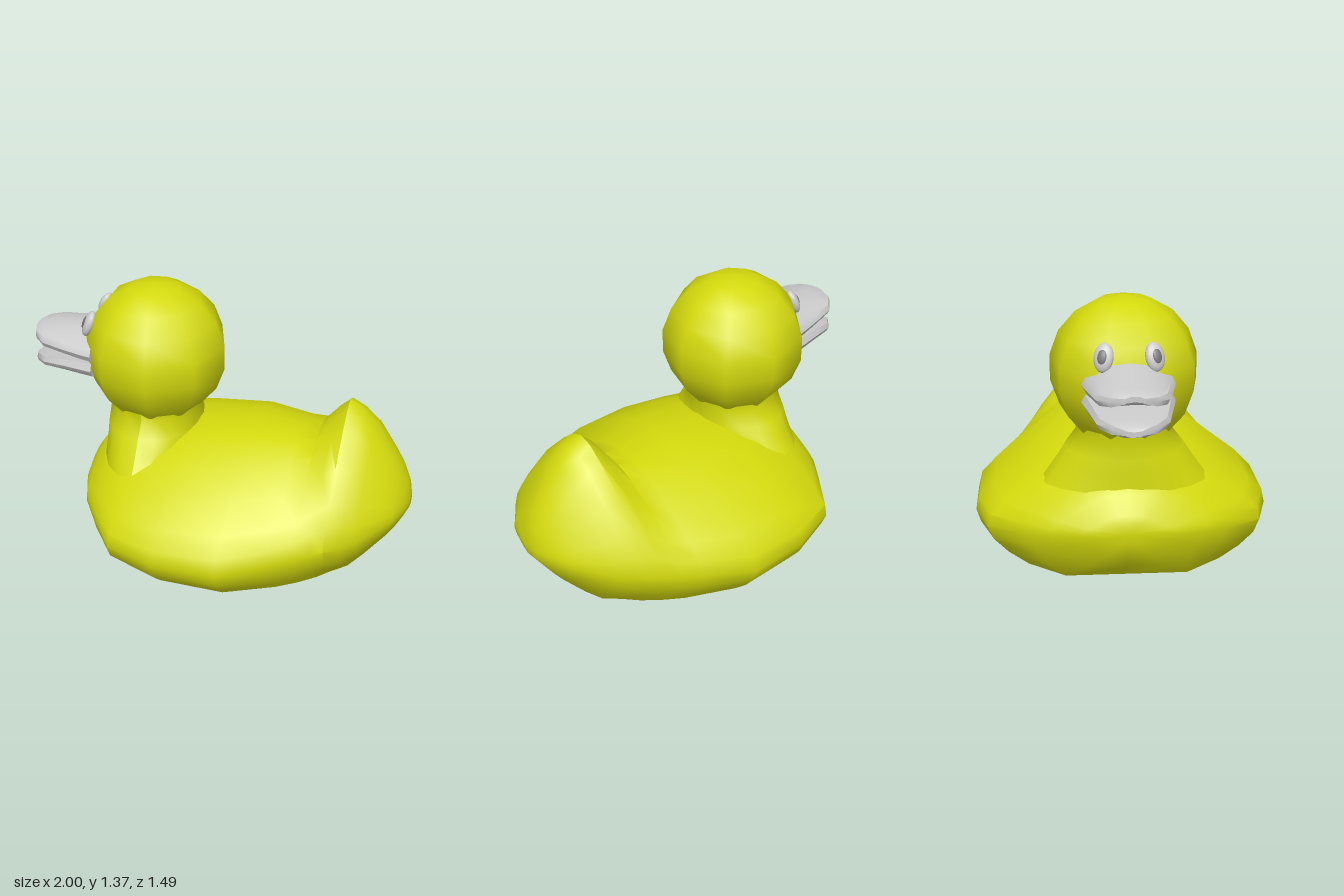
import * as THREE from 'three';
import { toCreasedNormals } from 'three/addons/utils/BufferGeometryUtils.js';

const yellow = new THREE.MeshStandardMaterial({ color: 0xd4da0c });
const grey = new THREE.MeshStandardMaterial({ color: 0xcccccc });
const dark = new THREE.MeshStandardMaterial({ color: 0x777777 });

// Skin closed cross-sections laid out along +x. Each section is
// { x, half: [[z, y], ...] } from bottom centre to top centre, mirrored in z.
// mirrorY reflects the finished solid about that height.
function loft(sections, mirrorY = null) {
  const pos = [], idx = [];
  const flip = mirrorY !== null;
  const tri = (a, b, c) => (flip ? idx.push(a, c, b) : idx.push(a, b, c));
  const put = (x, y, z) => pos.push(x, flip ? 2 * mirrorY - y : y, z);
  const n = (sections[0].half.length - 1) * 2;
  for (const { x, half } of sections) {
    const other = half.slice(1, -1).reverse().map(([z, y]) => [-z, y]);
    for (const [z, y] of [...half, ...other]) put(x, y, z);
  }
  const last = sections.length - 1;
  for (let i = 0; i < last; i++) {
    for (let j = 0; j < n; j++) {
      const k = (j + 1) % n, a = i * n, b = a + n;
      tri(a + j, b + j, a + k);
      tri(b + j, b + k, a + k);
    }
  }
  // end caps
  for (const s of [0, last]) {
    const { x, half } = sections[s];
    const c = pos.length / 3;
    put(x, (half[0][1] + half[half.length - 1][1]) / 2, 0);
    for (let j = 0; j < n; j++) {
      const p = s * n + j, q = s * n + ((j + 1) % n);
      if (s === 0) tri(c, p, q);
      else tri(c, q, p);
    }
  }
  const geo = new THREE.BufferGeometry();
  geo.setAttribute('position', new THREE.Float32BufferAttribute(pos, 3));
  geo.setIndex(idx);
  return toCreasedNormals(geo, 0.7);
}

function add(parent, name, geo, mat) {
  const mesh = new THREE.Mesh(geo, mat);
  mesh.name = name;
  parent.add(mesh);
  return mesh;
}

// Upper flank of the body: height fraction, rounded width, pointed (tail) width
const flank = [
  [0, 1, 1], [0.17, 0.98, 0.91], [0.35, 0.87, 0.78], [0.6, 0.66, 0.56],
  [0.85, 0.42, 0.27], [0.96, 0.22, 0.12], [1, 0, 0],
];

function bodySection([x, b, bw, w, yw, t, k]) {
  const half = [
    [0, b], [bw, b],
    [bw + (w - bw) * 0.5, b + (yw - b) * 0.33],
    [bw + (w - bw) * 0.85, b + (yw - b) * 0.66],
  ];
  for (const [u, round, point] of flank) {
    half.push([w * (round + (point - round) * k), yw + (t - yw) * u]);
  }
  return { x, half };
}

// x, bottom, bottom half-width, half-width, height of widest line, top, pointedness
const bodyStations = [
  [-0.71, 0.23, 0.04, 0.12, 0.28, 0.33, 0],
  [-0.69, 0.17, 0.09, 0.22, 0.27, 0.37, 0],
  [-0.63, 0.08, 0.2, 0.38, 0.25, 0.46, 0],
  [-0.55, 0, 0.3, 0.49, 0.23, 0.52, 0],
  [-0.4, 0, 0.48, 0.68, 0.21, 0.58, 0],
  [-0.15, 0, 0.6, 0.745, 0.2, 0.63, 0],
  [0.18, 0, 0.6, 0.74, 0.2, 0.68, 0.1],
  [0.42, 0, 0.48, 0.62, 0.23, 0.675, 0.2],
  [0.52, 0, 0.41, 0.57, 0.25, 0.7, 0.4],
  [0.6, 0, 0.34, 0.53, 0.27, 0.81, 0.8],
  [0.66, 0, 0.27, 0.5, 0.28, 0.87, 0.9],
  [0.73, 0, 0.2, 0.45, 0.29, 0.83, 0.7],
  [0.8, 0.06, 0.16, 0.4, 0.3, 0.76, 0.5],
  [0.9, 0.17, 0.12, 0.27, 0.32, 0.61, 0.3],
  [0.94, 0.22, 0.1, 0.22, 0.33, 0.54, 0.2],
  [0.98, 0.28, 0.06, 0.12, 0.34, 0.46, 0],
  [1, 0.31, 0.02, 0.04, 0.345, 0.38, 0],
];

// Beak half: x, half-width, lip bottom, lip top, ridge height
const beakStations = [
  [-1, 0.05, 1.03, 1.055, 1.065],
  [-0.98, 0.11, 1.012, 1.055, 1.073],
  [-0.92, 0.165, 1.0, 1.05, 1.08],
  [-0.8, 0.19, 0.988, 1.045, 1.1],
  [-0.7, 0.21, 0.98, 1.045, 1.12],
  [-0.64, 0.22, 0.978, 1.045, 1.13],
];

function beakSection([x, w, b, lip, ridge]) {
  const mid = (b + lip) / 2;
  return {
    x,
    half: [
      [0, b + 0.01], [w * 0.7, b + 0.005], [w * 0.92, b], [w, mid],
      [w * 0.92, lip], [w * 0.75, lip + (ridge - lip) * 0.25],
      [w * 0.42, lip + (ridge - lip) * 0.88], [0, ridge],
    ],
  };
}

export function createModel() {
  const model = new THREE.Group();
  model.name = 'duck';

  add(model, 'body', loft(bodyStations.map(bodySection)), yellow);

  // neck, spreading sideways where it meets the back
  const neckProfile = [[0.25, 0.45], [0.245, 0.55], [0.245, 0.62], [0.235, 0.7], [0.26, 0.8]]
    .map(([r, y]) => new THREE.Vector2(r, y));
  const neckGeo = new THREE.LatheGeometry(neckProfile, 18);
  const p = neckGeo.attributes.position;
  for (let i = 0; i < p.count; i++) {
    const spread = Math.max(0, 0.7 - p.getY(i)) * 2.6;
    p.setZ(i, p.getZ(i) * (1 + spread));
  }
  neckGeo.computeVertexNormals();
  add(model, 'neck', neckGeo, yellow).position.x = -0.365;

  const head = add(model, 'head', new THREE.SphereGeometry(0.37, 9, 9, Math.PI), yellow);
  head.position.set(-0.36, 1, 0);

  // beak, open, the lower half mirroring the upper
  const beak = beakStations.map(beakSection);
  add(model, 'upperBeak', loft(beak), grey);
  add(model, 'lowerBeak', loft(beak, 0.97), grey);

  // eyes: flattened ovals with a pupil, facing outward from the head
  for (const side of [1, -1]) {
    const eye = new THREE.Group();
    eye.name = side > 0 ? 'leftEye' : 'rightEye';
    const white = add(eye, 'eyeball', new THREE.SphereGeometry(1, 16, 12), grey);
    white.scale.set(0.048, 0.07, 0.03);
    const pupil = add(eye, 'pupil', new THREE.SphereGeometry(1, 14, 10), dark);
    pupil.scale.set(0.024, 0.036, 0.012);
    pupil.position.z = 0.022;
    eye.position.set(-0.675, 1.15, 0.118 * side);
    eye.lookAt(-1.0, 1.29, 0.25 * side);
    model.add(eye);
  }
  return model;
}
